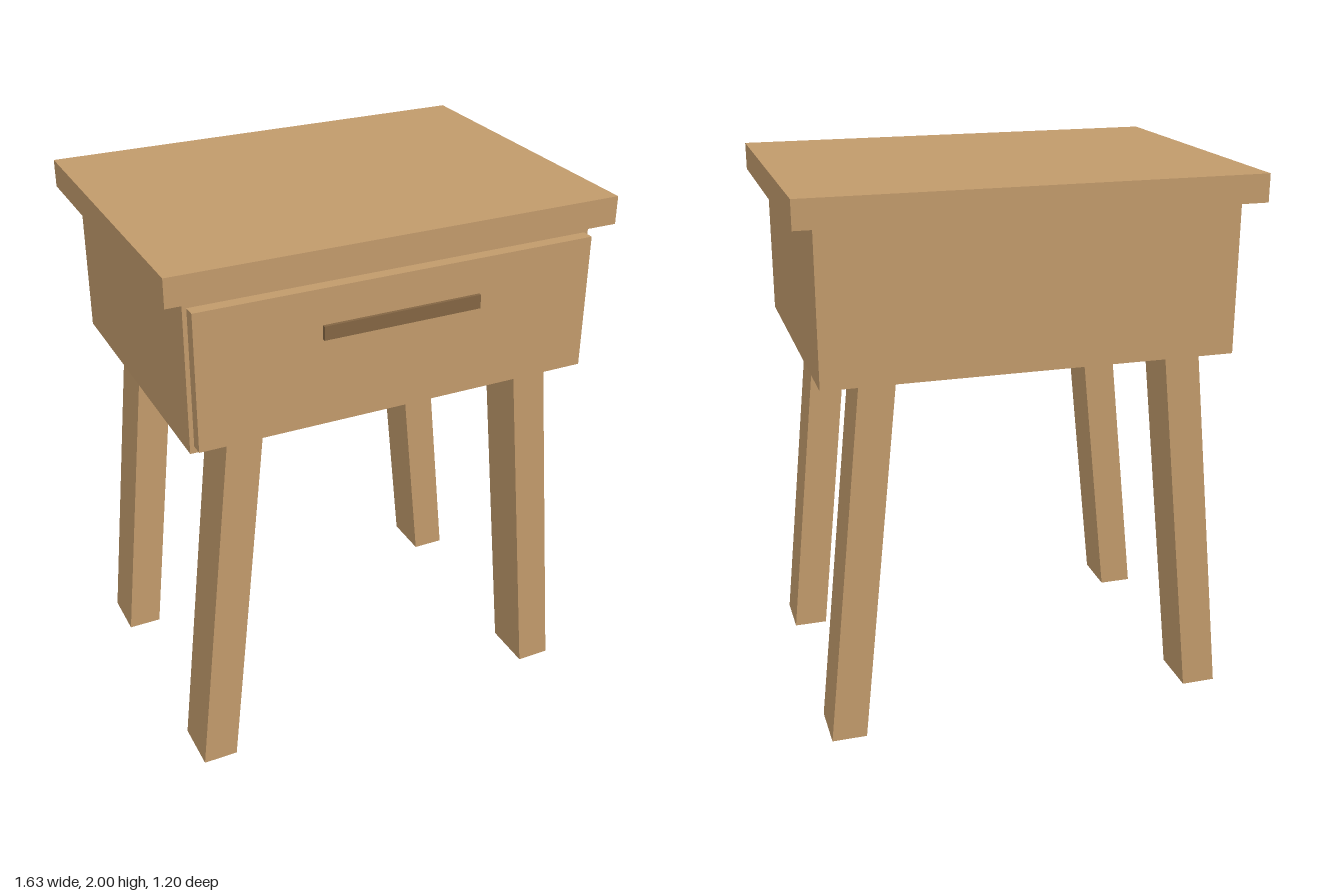
import * as THREE from 'three';

export function createModel() {
  const wood = new THREE.MeshStandardMaterial({ color: 0xc19a6b });
  wood.name = 'wood';
  const darkWood = new THREE.MeshStandardMaterial({ color: 0x836543 });
  darkWood.name = 'dark wood';

  const group = new THREE.Group();
  group.name = 'nightstand';

  // Box given by its extents along each axis
  const box = (name, material, [x0, x1], [y0, y1], [z0, z1]) => {
    const mesh = new THREE.Mesh(new THREE.BoxGeometry(x1 - x0, y1 - y0, z1 - z0), material);
    mesh.position.set((x0 + x1) / 2, (y0 + y1) / 2, (z0 + z1) / 2);
    mesh.name = name;
    group.add(mesh);
  };

  box('tableTop', wood, [-0.817, 0.817], [1.9, 2], [-0.6, 0.598]);
  box('cabinet', wood, [-0.745, 0.745], [1.35, 1.9], [-0.545, 0.545]);
  box('drawerFront', wood, [-0.73, 0.73], [1.375, 1.865], [0.545, 0.59]);
  box('drawerHandle', darkWood, [-0.29, 0.29], [1.687, 1.737], [0.588, 0.602]);

  // Legs splay outwards to the sides: a slanted outline extruded in depth
  for (const side of [-1, 1]) {
    const outline = new THREE.Shape([
      [0.63, 0], [0.758, 0], [0.616, 1.35], [0.488, 1.35],
    ].map(([x, y]) => new THREE.Vector2(side * x, y)));
    const geometry = new THREE.ExtrudeGeometry(outline, { depth: 0.19, bevelEnabled: false });
    for (const [end, z] of [['front', 0.35], ['back', -0.54]]) {
      const leg = new THREE.Mesh(geometry, wood);
      leg.position.z = z;
      leg.name = end + (side > 0 ? 'Left' : 'Right') + 'Leg';
      group.add(leg);
    }
  }

  return group;
}
